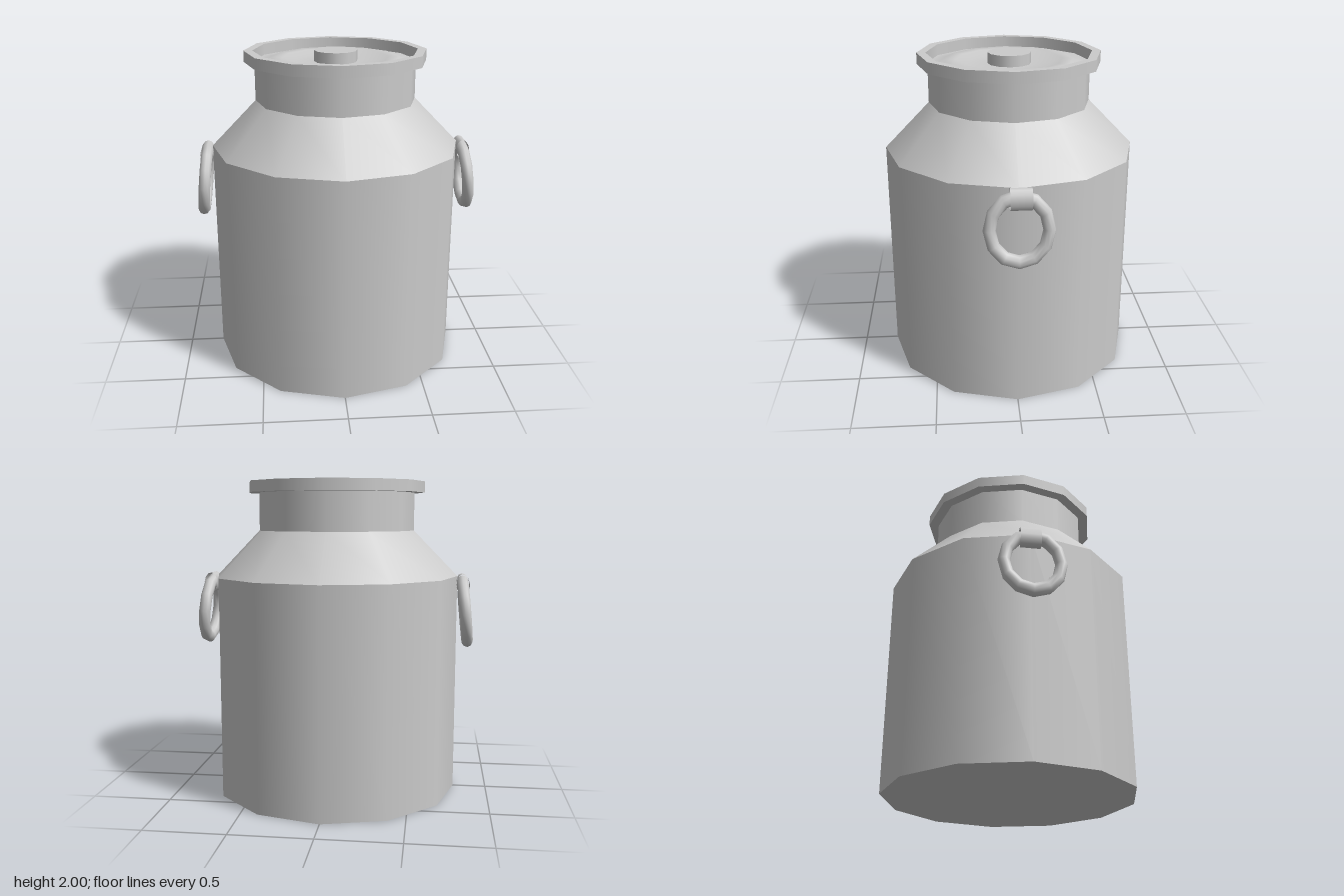
import * as THREE from 'three';

const SIDES = 12;
const material = new THREE.MeshStandardMaterial({ color: 0xcccccc });
const openMaterial = new THREE.MeshStandardMaterial({ color: 0xcccccc, side: THREE.DoubleSide });

function addMesh(parent, name, geometry, mat = material) {
  const mesh = new THREE.Mesh(geometry, mat);
  mesh.name = name;
  parent.add(mesh);
  return mesh;
}

// One smooth turned band; separate bands meet in a sharp edge.
function addBand(parent, name, profile) {
  const points = profile.map(([r, y]) => new THREE.Vector2(r, y));
  return addMesh(parent, name, new THREE.LatheGeometry(points, SIDES));
}

function createHandle(side) {
  const handle = new THREE.Group();
  handle.name = side > 0 ? 'leftHandle' : 'rightHandle';

  // Slightly tall ring, hanging outwards at the bottom
  const ring = new THREE.TorusGeometry(0.17, 0.037, 10, SIDES);
  ring.scale(1, 1.13, 1);
  ring.rotateY(Math.PI / 2);
  addMesh(handle, 'handleRing', ring);

  // Flattened sleeve wrapped round the top of the ring
  const strap = new THREE.CylinderGeometry(1, 1, 0.125, 12, 1, true);
  strap.rotateX(Math.PI / 2);
  strap.scale(0.043, 0.066, 1);
  addMesh(handle, 'handleStrap', strap, openMaterial).position.set(0, 0.178, -0.01);

  handle.position.set(side * 0.84, 1.172, 0);
  handle.rotation.z = side * 0.095;
  return handle;
}

export function createModel() {
  const can = new THREE.Group();
  can.name = 'milkCan';

  // Body
  addBand(can, 'base', [[0, 0], [0.787, 0]]);
  addBand(can, 'body', [[0.787, 0], [0.787, 1.4]]);
  addBand(can, 'shoulder', [[0.787, 1.4], [0.505, 1.69]]);
  addBand(can, 'neck', [[0.505, 1.69], [0.505, 1.93]]);

  // Lid with raised rim, pressed ring and central knob
  const lid = new THREE.Group();
  lid.name = 'lid';
  can.add(lid);
  addBand(lid, 'rimUnderside', [[0.505, 1.93], [0.57, 1.93]]);
  addBand(lid, 'rimOuter', [[0.57, 1.93], [0.57, 2]]);
  addBand(lid, 'rimTop', [[0.57, 2], [0.515, 2]]);
  addBand(lid, 'rimInner', [[0.515, 2], [0.515, 1.93]]);
  addBand(lid, 'lidPanel', [
    [0.515, 1.93], [0.45, 1.93], [0.4, 1.955], [0.33, 1.955], [0.265, 1.93], [0.135, 1.93],
  ]);
  addBand(lid, 'knobSide', [[0.135, 1.93], [0.135, 1.998]]);
  addBand(lid, 'knobTop', [[0.135, 1.998], [0, 1.998]]);

  // Ring handles
  for (const side of [1, -1]) can.add(createHandle(side));
  return can;
}
